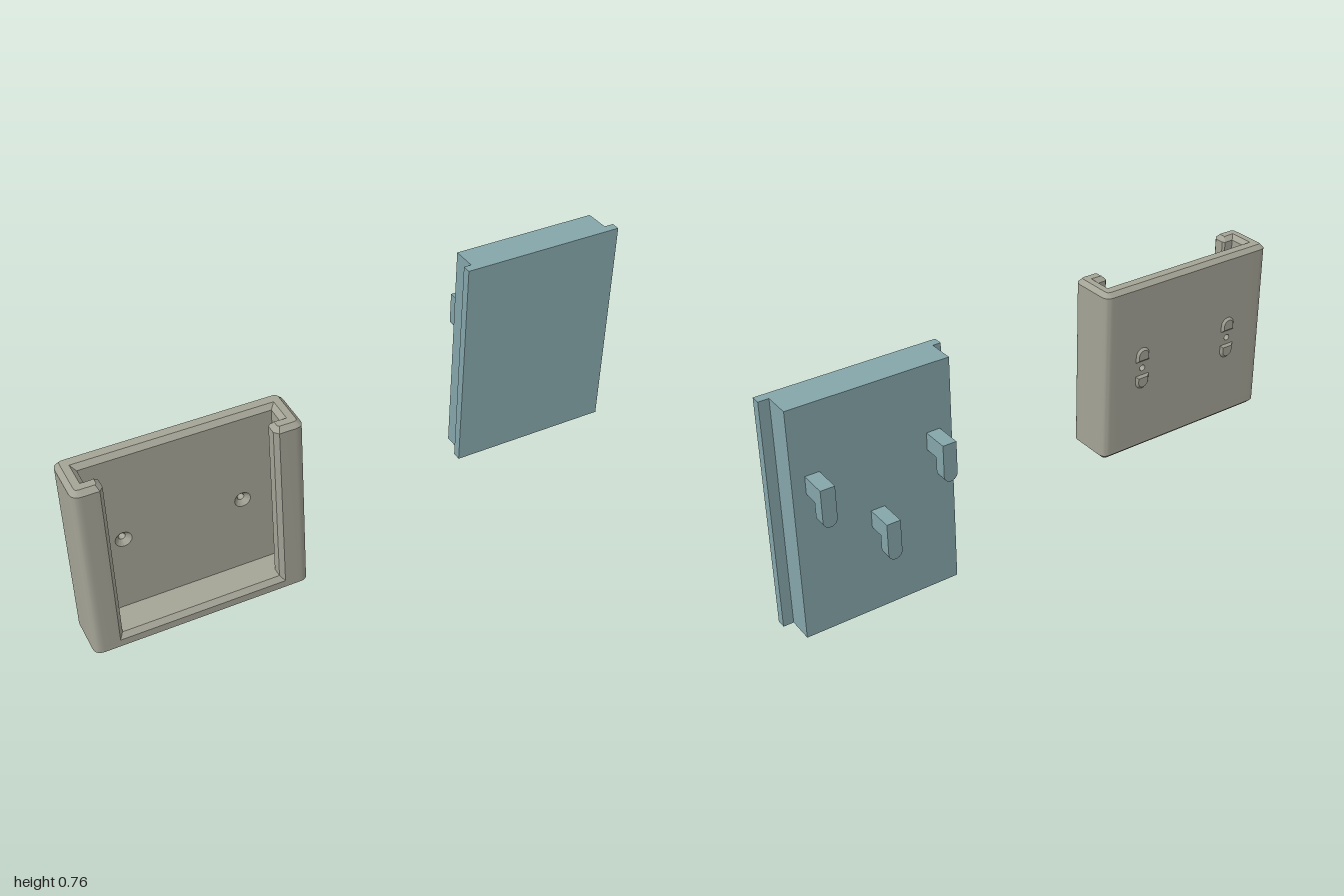
import * as THREE from 'three';
import { toCreasedNormals } from 'three/addons/utils/BufferGeometryUtils.js';

const B = 0.015; // common chamfer
const HOLDER_X = -0.65, HALF_W = 0.35, BACK = 0.08, FRONT = 0.253;
const SCREW_X = [-0.19, 0.19], SCREW_Y = 0.317, SCREW_R = 0.011;

// Extrusion whose chamfers cut inwards, so the shape keeps its full size
function chamferExtrude(shape, length, bevel) {
  const g = new THREE.ExtrudeGeometry(shape, {
    depth: length - 2 * bevel, bevelEnabled: bevel > 0, bevelSegments: 1,
    bevelThickness: bevel, bevelSize: bevel, bevelOffset: -bevel, curveSegments: 8,
  });
  return g.translate(0, 0, bevel);
}

// Plan shapes are drawn in (x, -z) and raised upwards
const raise = (shape, height) => chamferExtrude(shape, height, B).rotateX(-Math.PI / 2);

function add(parent, name, geometry, material, x = 0, y = 0, z = 0) {
  const mesh = new THREE.Mesh(toCreasedNormals(geometry, 0.5), material);
  mesh.name = name;
  mesh.position.set(x, y, z);
  parent.add(mesh);
  return mesh;
}

function box(parent, name, material, x0, x1, y0, y1, z0, z1) {
  add(parent, name, new THREE.BoxGeometry(x1 - x0, y1 - y0, z1 - z0), material,
    (x0 + x1) / 2, (y0 + y1) / 2, (z0 + z1) / 2);
}

// Side rail: hooks around the slot with a chamfered front lip
function railShape(side) {
  const s = new THREE.Shape(), r = 0.03;
  const p = (x, z) => [side * x, -z];
  s.moveTo(...p(0.27, BACK));
  s.lineTo(...p(HALF_W - r, BACK));
  s.quadraticCurveTo(...p(HALF_W, BACK), ...p(HALF_W, BACK + r));
  s.lineTo(...p(HALF_W, FRONT - r));
  s.quadraticCurveTo(...p(HALF_W, FRONT), ...p(HALF_W - r, FRONT));
  s.lineTo(...p(0.27, FRONT));
  s.lineTo(...p(0.257, FRONT - B));
  s.lineTo(...p(0.257, 0.205));
  s.lineTo(...p(0.264, 0.198));
  s.lineTo(...p(0.297, 0.198));
  s.lineTo(...p(0.297, 0.14));
  s.lineTo(...p(0.27, 0.14));
  s.closePath();
  return s;
}

function baseShape() {
  const s = new THREE.Shape(), r = 0.03, w = HALF_W, a = -FRONT, b = -BACK;
  s.moveTo(-w + r, a);
  s.lineTo(w - r, a);
  s.quadraticCurveTo(w, a, w, a + r);
  s.lineTo(w, b - r);
  s.quadraticCurveTo(w, b, w - r, b);
  s.lineTo(-w + r, b);
  s.quadraticCurveTo(-w, b, -w, b - r);
  s.lineTo(-w, a + r);
  s.quadraticCurveTo(-w, a, -w + r, a);
  return s;
}

// Back panel with screw holes, countersunk on the inside only
function backPanel() {
  const s = new THREE.Shape();
  s.moveTo(-0.32, 0.01);
  s.lineTo(0.32, 0.01);
  s.lineTo(0.32, 0.633);
  s.lineTo(-0.32, 0.633);
  s.closePath();
  for (const x of SCREW_X) {
    s.holes.push(new THREE.Path().absarc(x, SCREW_Y, SCREW_R, 0, Math.PI * 2, true));
  }
  const g = chamferExtrude(s, 0.14 - BACK, B);
  const pos = g.attributes.position;
  for (let i = 0; i < pos.count; i++) {
    if (pos.getZ(i) > 0.001) continue;
    for (const x of SCREW_X) {
      const dx = pos.getX(i) - x, dy = pos.getY(i) - SCREW_Y, d = Math.hypot(dx, dy);
      if (d < 0.05) pos.setXY(i, x + dx * SCREW_R / d, SCREW_Y + dy * SCREW_R / d);
    }
  }
  return g;
}

// Raised half-pill key on the rear face; dir is +1 above the screw, -1 below
function keyShape(dir) {
  const s = new THREE.Shape(), r = 0.028, y0 = dir * 0.026, y1 = dir * 0.05;
  s.moveTo(-r, y0);
  s.lineTo(r, y0);
  s.lineTo(r, y1);
  s.absarc(0, y1, r, 0, dir * Math.PI, dir < 0);
  s.closePath();
  return s;
}

// Downturned end of a hook, with a round tip
function hookTip() {
  const s = new THREE.Shape(), r = 0.0225;
  s.moveTo(-r, 0.126);
  s.lineTo(-r, r);
  s.absarc(0, r, r, Math.PI, Math.PI * 2, false);
  s.lineTo(r, 0.126);
  s.closePath();
  return chamferExtrude(s, 0.04, 0);
}

export function createModel() {
  const model = new THREE.Group();
  const holderMat = new THREE.MeshStandardMaterial({ color: 0xa3a396 });
  const plateMat = new THREE.MeshStandardMaterial({ color: 0x85a6aa });

  // Slotted wall holder
  const holder = new THREE.Group();
  holder.name = 'holder';
  holder.position.x = HOLDER_X;
  model.add(holder);
  add(holder, 'holderBase', raise(baseShape(), 0.055), holderMat);
  add(holder, 'leftRail', raise(railShape(1), 0.633), holderMat);
  add(holder, 'rightRail', raise(railShape(-1), 0.633), holderMat);
  add(holder, 'backPanel', backPanel(), holderMat, 0, 0, BACK);
  for (const x of SCREW_X) {
    for (const dir of [1, -1]) {
      const key = chamferExtrude(keyShape(dir), 0.024, 0.008);
      add(holder, 'mountingKey', key, holderMat, x, SCREW_Y, 0.072);
    }
  }

  // Sliding plate with a wider front flange
  const plate = new THREE.Group();
  plate.name = 'hookPlate';
  model.add(plate);
  box(plate, 'flange', plateMat, 0.427, 1, 0, 0.76, -0.08, -0.05);
  box(plate, 'plateBody', plateMat, 0.453, 0.967, 0, 0.76, -0.165, -0.079);

  // Three rear hooks, the middle one lower
  for (const [x, y] of [[0.515, 0.414], [0.709, 0.223], [0.903, 0.414]]) {
    const hook = new THREE.Group();
    hook.name = 'hook';
    hook.position.set(x, y, 0);
    plate.add(hook);
    box(hook, 'hookArm', plateMat, -0.0225, 0.0225, 0.069, 0.126, -0.22, -0.16);
    add(hook, 'hookTip', hookTip(), plateMat, 0, 0, -0.253);
  }
  return model;
}
